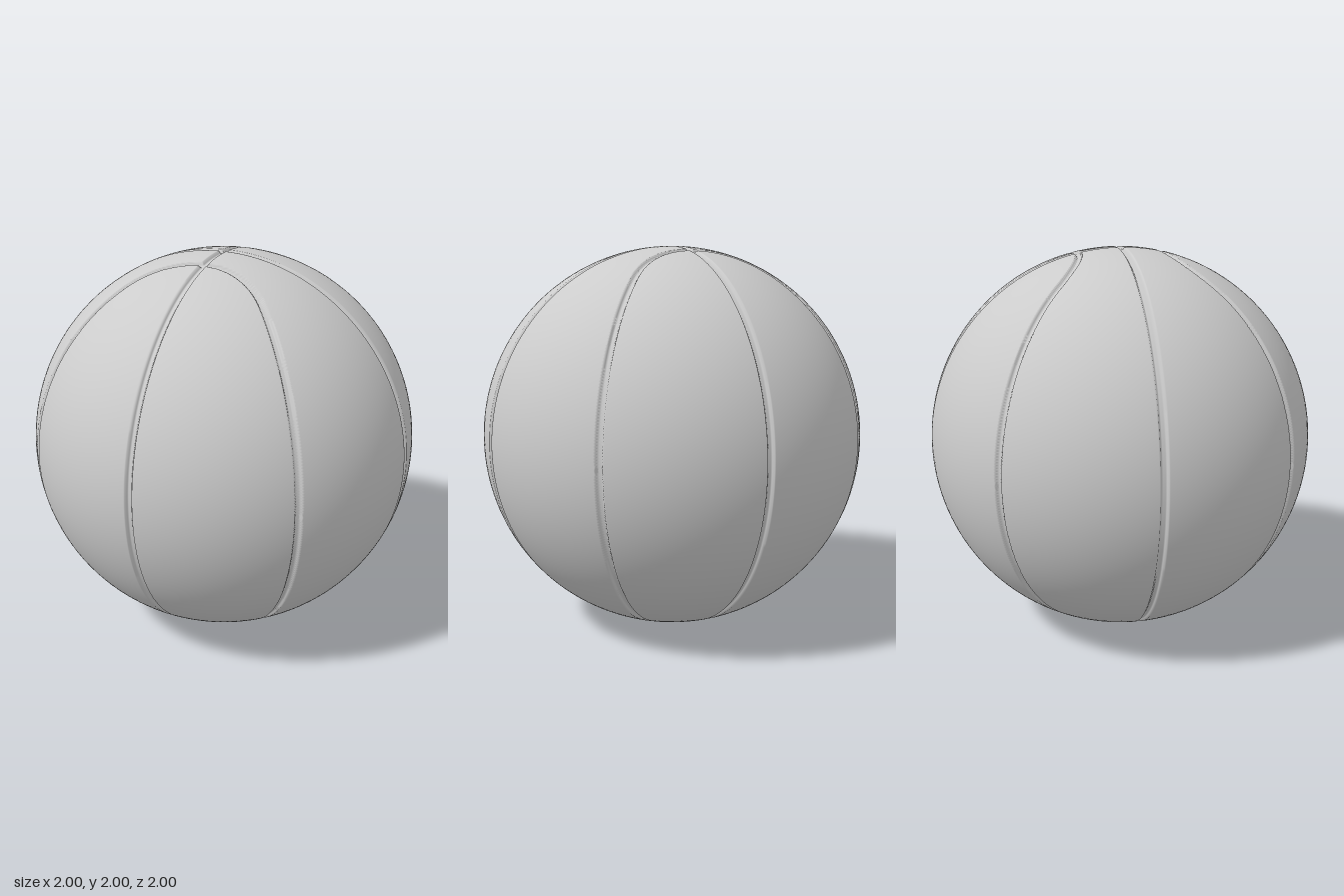
import * as THREE from 'three';

const GROOVE_DEPTH = 0.016, FLOOR = 0.009, RIM = 0.02; // groove section
const ARC_C = 0.75, ARC_R = ARC_C / Math.SQRT2; // arc that rounds each curved seam over the pole

// Distance from a point on the unit sphere to the nearest seam
function seamDistance(p) {
  const x = Math.abs(p.x), z = Math.abs(p.z);
  const curved = x + z < ARC_C
    ? Math.abs(Math.hypot(x, z - ARC_C) - ARC_R)
    : Math.abs(x - z) / Math.SQRT2;
  return Math.min(x, z, curved);
}

// Sphere surface, pressed in along the seams
function surface(dir) {
  const press = 1 - THREE.MathUtils.smoothstep(seamDistance(dir), FLOOR, RIM);
  return dir.clone().multiplyScalar(1 - GROOVE_DEPTH * press);
}

function surfaceNormal(dir) {
  const e = 0.0015;
  const helper = Math.abs(dir.y) < 0.9 ? new THREE.Vector3(0, 1, 0) : new THREE.Vector3(1, 0, 0);
  const u = helper.cross(dir).normalize();
  const v = dir.clone().cross(u);
  const at = (t, s) => surface(dir.clone().addScaledVector(t, s).normalize());
  const du = at(u, e).sub(at(u, -e));
  const dv = at(v, e).sub(at(v, -e));
  return du.cross(dv).normalize();
}

// Midpoint of an edge if it is too long for its distance to a seam, else null
function splitPoint(a, b) {
  const mid = a.clone().add(b).normalize();
  const limit = 0.0095 + 0.7 * Math.max(seamDistance(mid) - 0.022, 0);
  return a.distanceTo(b) > Math.min(limit, 0.06) ? mid : null;
}

// Octahedron refined into a sphere, finest along the seams
function ballGeometry() {
  const stack = [];
  for (const sx of [1, -1]) for (const sy of [1, -1]) for (const sz of [1, -1]) {
    const x = new THREE.Vector3(sx, 0, 0), y = new THREE.Vector3(0, sy, 0), z = new THREE.Vector3(0, 0, sz);
    stack.push(sx * sy * sz > 0 ? [x, y, z] : [x, z, y]);
  }
  const positions = [], normals = [];
  while (stack.length) {
    let [a, b, c] = stack.pop();
    let ab = splitPoint(a, b), bc = splitPoint(b, c), ca = splitPoint(c, a);
    const count = [ab, bc, ca].filter(Boolean).length;
    if (count === 0) {
      for (const p of [a, b, c]) {
        positions.push(...surface(p).toArray());
        normals.push(...surfaceNormal(p).toArray());
      }
    } else if (count === 3) {
      stack.push([a, ab, ca], [ab, b, bc], [ca, bc, c], [ab, bc, ca]);
    } else {
      // turn the triangle so ab is split, and ca is whole
      while (!(ab && !ca)) [a, b, c, ab, bc, ca] = [b, c, a, bc, ca, ab];
      if (count === 1) stack.push([a, ab, c], [ab, b, c]);
      else {
        stack.push([ab, b, bc]);
        if (a.distanceTo(bc) < ab.distanceTo(c)) stack.push([a, ab, bc], [a, bc, c]);
        else stack.push([a, ab, c], [ab, bc, c]);
      }
    }
  }
  const geometry = new THREE.BufferGeometry();
  geometry.setAttribute('position', new THREE.Float32BufferAttribute(positions, 3));
  geometry.setAttribute('normal', new THREE.Float32BufferAttribute(normals, 3));
  return geometry;
}

export function createModel() {
  const group = new THREE.Group();
  group.name = 'basketball';
  const ball = new THREE.Mesh(ballGeometry(), new THREE.MeshStandardMaterial({ color: 0xcccccc }));
  ball.name = 'groovedBall';
  ball.position.y = 1;
  group.add(ball);
  return group;
}
